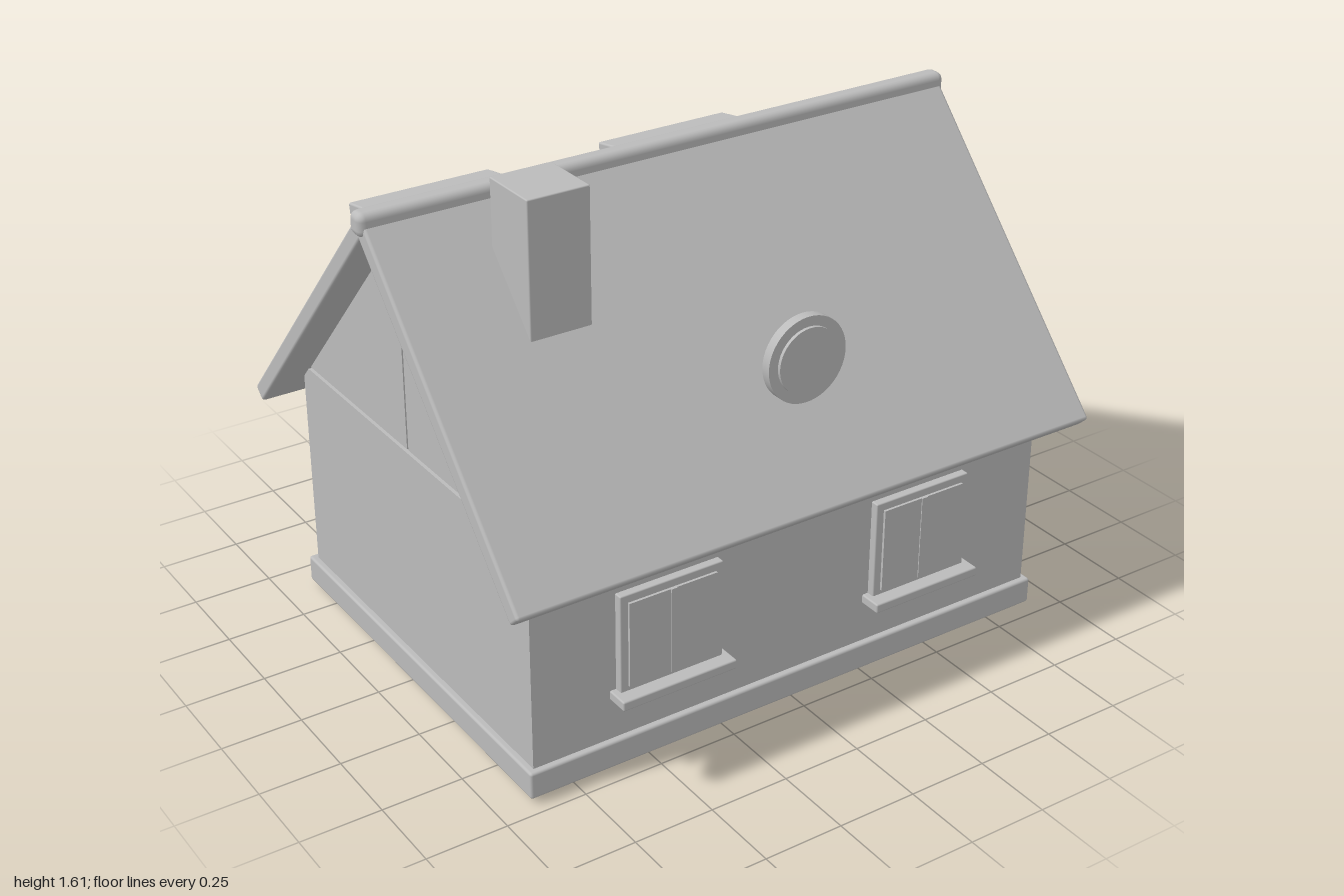
import * as THREE from 'three';
import { RoundedBoxGeometry } from 'three/addons/geometries/RoundedBoxGeometry.js';

const plaster = new THREE.MeshStandardMaterial({ color: 0xbbbbbb });
plaster.name = 'plain grey';

const MID_Z = 0.03; // ridge line of the house

function add(parent, name, geometry, x = 0, y = 0, z = 0) {
  const mesh = new THREE.Mesh(geometry, plaster);
  mesh.name = name;
  mesh.position.set(x, y, z);
  parent.add(mesh);
  return mesh;
}

// Box given by its limits on each axis; a radius softens the edges
function block(parent, name, [x0, x1], [y0, y1], [z0, z1], radius = 0) {
  const size = [x1 - x0, y1 - y0, z1 - z0];
  const geometry = radius
    ? new RoundedBoxGeometry(...size, 2, radius)
    : new THREE.BoxGeometry(...size);
  return add(parent, name, geometry, (x0 + x1) / 2, (y0 + y1) / 2, (z0 + z1) / 2);
}

// Window facing +z, with the wall at z = 0 and the sill bottom at y = 0
function makeWindow(name, width, height, sillWidth, sillDepth) {
  const g = new THREE.Group();
  g.name = name;
  const w = width / 2, s = sillWidth / 2, m = 0.025;
  block(g, 'windowFrame', [-w, w], [0.02, height], [-0.02, 0.025], 0.004);
  for (const side of [-1, 1]) {
    const edges = [side * 0.006, side * (w - m)].sort((a, b) => a - b);
    block(g, 'casement', edges, [0.045, height - m], [0.02, 0.033]);
  }
  block(g, 'mullion', [-0.01, 0.01], [0.045, height - m], [0.02, 0.036]);
  block(g, 'windowSill', [-s, s], [0, 0.03], [-0.02, sillDepth], 0.005);
  return g;
}

export function createModel() {
  const house = new THREE.Group();
  house.name = 'house';

  // Base and walls
  block(house, 'foundation', [-0.9, 0.9], [0.02, 0.105], [-0.65, 0.71], 0.008);
  block(house, 'walls', [-0.88, 0.88], [0.03, 0.787], [-0.625, 0.69]);

  // Gable attic in two halves with a fine joint between them
  for (const side of [-1, 1]) {
    const shape = new THREE.Shape();
    shape.moveTo(side * 0.004, 0.794);
    shape.lineTo(side * 0.62, 0.794);
    shape.lineTo(side * 0.004, 1.46);
    const geometry = new THREE.ExtrudeGeometry(shape, { depth: 1.75, bevelEnabled: false });
    geometry.translate(0, 0, -0.875);
    geometry.rotateY(Math.PI / 2);
    add(house, 'gable', geometry, 0, 0, MID_Z);
  }
  block(house, 'gableJoint', [-0.868, 0.868], [0.78, 1.44], [MID_Z - 0.01, MID_Z + 0.01]);
  block(house, 'atticFloor', [-0.868, 0.868], [0.78, 0.8], [-0.58, 0.64]);

  // Roof slopes and ridge cap
  for (const side of [-1, 1]) {
    const slope = add(house, 'roofSlope', new RoundedBoxGeometry(1.97, 0.055, 1.13, 2, 0.01),
      0, 1.086, MID_Z + side * 0.382);
    slope.rotation.x = side * 0.827;
  }
  block(house, 'ridgeCap', [-0.997, 0.997], [1.475, 1.546], [-0.003, 0.063], 0.022);

  // Chimney
  block(house, 'chimney', [-0.65, -0.455], [1.1, 1.61], [0.15, 0.345], 0.004);

  // Round window standing in front of the roof
  const disc = new THREE.Group();
  disc.name = 'roundWindow';
  disc.position.set(0, 1.12, 0);
  disc.rotation.x = Math.PI / 2;
  add(disc, 'roundFrame', new THREE.CylinderGeometry(0.13, 0.13, 0.03, 48), 0, 0.7, 0);
  add(disc, 'roundPane', new THREE.CylinderGeometry(0.1, 0.1, 0.01, 48), 0, 0.72, 0);
  house.add(disc);

  for (const side of [-1, 1]) {
    // Ground floor windows, front and back
    const front = makeWindow('frontWindow', 0.34, 0.34, 0.38, 0.07);
    front.position.set(side * 0.44, 0.235, 0.69);
    const back = makeWindow('backWindow', 0.34, 0.34, 0.38, 0.07);
    back.position.set(side * 0.54, 0.235, -0.625);
    back.rotation.y = Math.PI;
    house.add(front, back);

    // Dormer on the back slope
    const dormer = new THREE.Group();
    dormer.name = 'dormer';
    dormer.position.x = side * 0.44;
    block(dormer, 'dormerWalls', [-0.195, 0.195], [0.9, 1.25], [-0.615, -0.25]);
    const lid = add(dormer, 'dormerRoof', new RoundedBoxGeometry(0.48, 0.038, 0.412, 2, 0.007),
      0, 1.272, -0.455);
    lid.rotation.x = -0.17;
    const pane = makeWindow('dormerWindow', 0.27, 0.275, 0.315, 0.075);
    pane.position.set(0, 0.905, -0.615);
    pane.rotation.y = Math.PI;
    dormer.add(pane);
    house.add(dormer);
  }

  // Back door with step and knob
  block(house, 'doorFrame', [-0.197, 0.197], [0.003, 0.65], [-0.652, -0.615], 0.004);
  block(house, 'door', [-0.17, 0.17], [0.05, 0.625], [-0.662, -0.64]);
  block(house, 'doorStep', [-0.23, 0.23], [0.022, 0.05], [-0.815, -0.64], 0.005);
  add(house, 'doorKnob', new THREE.SphereGeometry(0.02, 20, 14), 0.125, 0.315, -0.673);

  return house;
}
